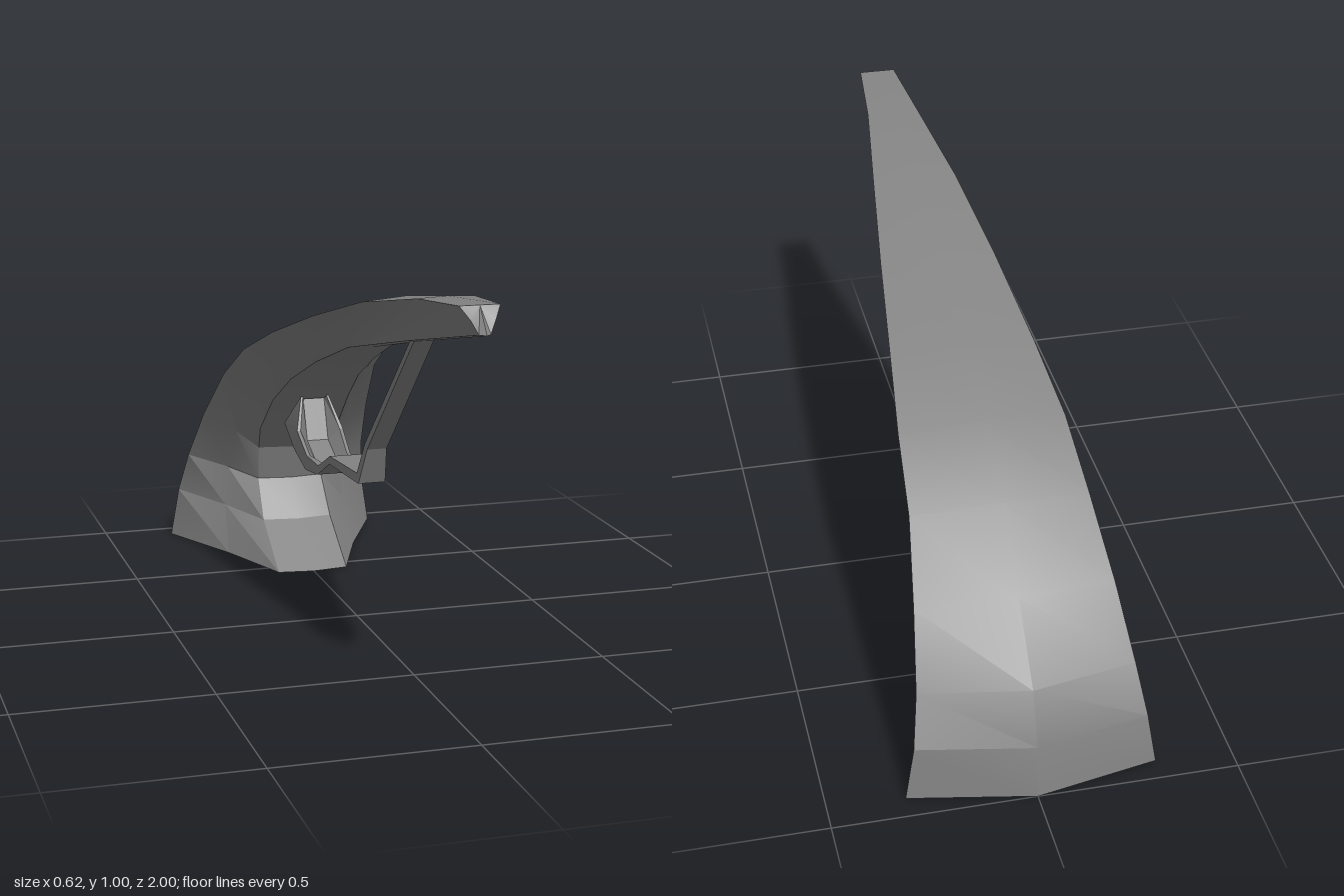
import * as THREE from 'three';
import { toCreasedNormals } from 'three/addons/utils/BufferGeometryUtils.js';

// Skin a series of closed rings and cap both ends with fans from each ring's first point.
function loft(rings) {
  const n = rings[0].length, last = (rings.length - 1) * n, index = [];
  for (let i = 0; i < rings.length - 1; i++) {
    for (let j = 0; j < n; j++) {
      const a = i * n + j, b = i * n + (j + 1) % n;
      index.push(a, a + n, b + n, a, b + n, b);
    }
  }
  for (let k = 1; k < n - 1; k++) {
    index.push(0, k, k + 1, last, last + k + 1, last + k);
  }
  const geo = new THREE.BufferGeometry();
  geo.setAttribute('position', new THREE.Float32BufferAttribute(rings.flat(2), 3));
  geo.setIndex(index);
  return toCreasedNormals(geo, 0.35);
}

// Complete a half ring by mirroring it in x; the first and last points lie on the centre line.
const mirrorRing = (start, half, end) =>
  [start, ...half, end, ...half.map(([x, y, z]) => [-x, y, z]).reverse()];

// Curved arm, base to tip: ridge z, y | edge x, y, z | inner face x, y, z
const armStations = [
  [-1.00, 0.00, 0.31, 0.00, -0.94, 0.100, 0.00, -0.435],
  [-0.985, 0.14, 0.287, 0.14, -0.93, 0.100, 0.11, -0.61],
  [-0.93, 0.27, 0.268, 0.26, -0.87, 0.095, 0.215, -0.69],
  [-0.78, 0.43, 0.247, 0.41, -0.745, 0.100, 0.315, -0.66],
  [-0.60, 0.58, 0.223, 0.56, -0.58, 0.115, 0.39, -0.58],
  [-0.40, 0.685, 0.21, 0.665, -0.39, 0.110, 0.50, -0.45],
  [-0.18, 0.765, 0.185, 0.75, -0.17, 0.096, 0.59, -0.30],
  [0.13, 0.86, 0.15, 0.845, 0.13, 0.080, 0.675, -0.10],
  [0.42, 0.935, 0.112, 0.925, 0.42, 0.058, 0.755, 0.13],
  [0.73, 0.985, 0.07, 0.98, 0.72, 0.032, 0.845, 0.54],
  [0.95, 1.00, 0.048, 1.00, 0.95, 0.014, 0.94, 1.00],
];

// Strap and cradle, front to back: half width | bottom z, y | floor z, y | lip x, z, y
const strapStations = [
  [0.025, 0.56, 0.85, 0.535, 0.85, 0.025, 0.535, 0.85],
  [0.026, 0.18, 0.50, 0.158, 0.51, 0.026, 0.158, 0.51],
  [0.036, 0.135, 0.40, 0.12, 0.425, 0.036, 0.12, 0.425],
  [0.048, -0.10, 0.397, -0.095, 0.42, 0.048, -0.095, 0.42],
  [0.056, -0.19, 0.347, -0.185, 0.37, 0.054, -0.19, 0.372],
  [0.060, -0.30, 0.335, -0.295, 0.355, 0.062, -0.28, 0.38],
  [0.060, -0.42, 0.365, -0.39, 0.395, 0.066, -0.365, 0.43],
  [0.062, -0.52, 0.42, -0.435, 0.505, 0.040, -0.42, 0.515],
];

export function createModel() {
  const model = new THREE.Group();
  model.name = 'curvedArmStand';
  const material = new THREE.MeshStandardMaterial({ color: 0x838383 });

  const add = (name, rings) => {
    const mesh = new THREE.Mesh(loft(rings), material);
    mesh.name = name;
    model.add(mesh);
  };

  // Tapering arm with hollow sides, a flat foot and a slightly bowed inner face
  const armRings = armStations.map(([rz, ry, ex, ey, ez, ix, iy, iz]) => mirrorRing(
    [0, ry, rz],
    [
      [ex, ey, ez],
      [(ex + ix) * 0.465, (ey + iy) / 2, (ez + iz) / 2],
      [ix, iy, iz - 0.014],
    ],
    [0, iy, iz],
  ));
  add('curvedArm', armRings);

  // Thin strap that widens into a raised-edge cradle curving up to the arm
  const strapRings = strapStations.map(([w, bz, by, fz, fy, lx, lz, ly]) => mirrorRing(
    [0, by, bz],
    [
      [w, by, bz],
      [lx, ly, lz],
      [lx * 0.85, ly, lz],
      [w * 0.5, fy, fz],
    ],
    [0, fy, fz],
  ));
  add('strapAndCradle', strapRings);

  return model;
}
